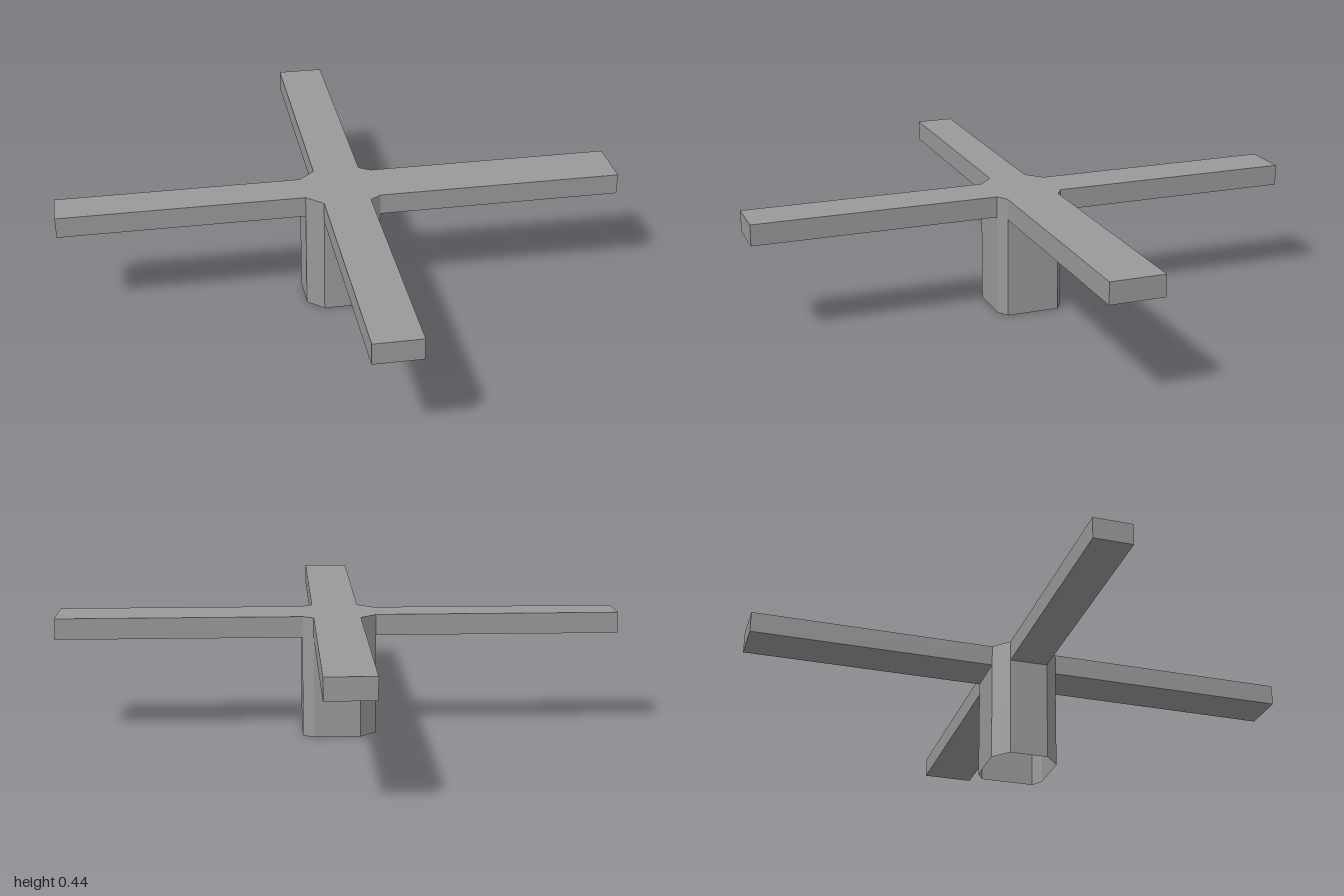
import * as THREE from 'three';

const TOP = 0.435, UNDER = 0.36;

// Hub outline as [x, z]; even sides carry an arm, odd sides are chamfers
const HUB = [
  [-0.075, 0.12], [0.091, 0.12], [0.13, 0.095], [0.13, -0.095],
  [0.091, -0.12], [-0.075, -0.12], [-0.132, -0.068], [-0.132, 0.068],
];
// How far each arm's tip reaches: front, left, back, right
const TIPS = [[0, 0.99], [1, 0], [0, -0.99], [-1, 0]];

// Flat-sided geometry from convex polygons, corners counterclockwise
function faces(polygons) {
  const pos = [];
  for (const p of polygons) {
    for (let i = 1; i < p.length - 1; i++) pos.push(...p[0], ...p[i], ...p[i + 1]);
  }
  const g = new THREE.BufferGeometry();
  g.setAttribute('position', new THREE.Float32BufferAttribute(pos, 3));
  g.computeVertexNormals();
  return g;
}

const at = ([x, z], y) => [x, y, z];
const wall = (a, b, y0, y1) => [at(a, y0), at(b, y0), at(b, y1), at(a, y1)];

export function createModel() {
  const model = new THREE.Group();
  const grey = new THREE.MeshStandardMaterial({ color: 0x999999, side: THREE.DoubleSide });
  grey.name = 'grey';
  const add = (name, polygons) => {
    const mesh = new THREE.Mesh(faces(polygons), grey);
    mesh.name = name;
    model.add(mesh);
  };

  // Hollow post, open at the bottom; walls stop below the arms
  add('post', HUB.map((a, i) =>
    wall(a, HUB[(i + 1) % 8], 0, i % 2 ? TOP : UNDER)));
  add('hubTop', [HUB.map((p) => at(p, TOP))]);

  // Four arms, each open where it meets the hub
  ['frontArm', 'leftArm', 'backArm', 'rightArm'].forEach((name, i) => {
    const a = HUB[i * 2], b = HUB[i * 2 + 1];
    const [tx, tz] = TIPS[i];
    const tip = ([x, z]) => [tx || x, tz || z];
    const c = tip(a), d = tip(b);
    add(name, [
      wall(a, c, UNDER, TOP),
      wall(c, d, UNDER, TOP),
      wall(d, b, UNDER, TOP),
      [at(a, TOP), at(c, TOP), at(d, TOP), at(b, TOP)],
      [at(a, UNDER), at(b, UNDER), at(d, UNDER), at(c, UNDER)],
    ]);
  });
  return model;
}
